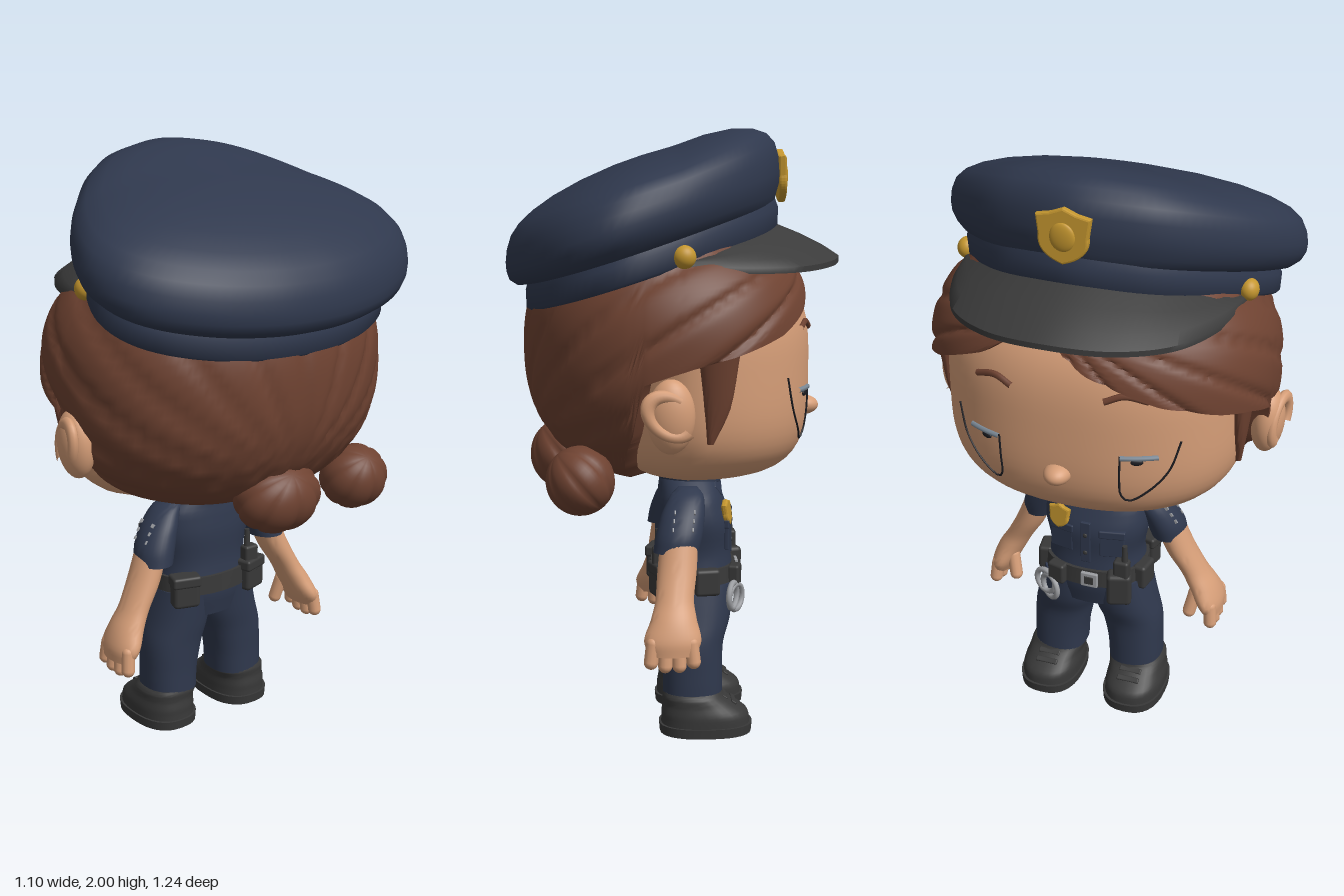
import * as THREE from 'three';
import { toCreasedNormals } from 'three/addons/utils/BufferGeometryUtils.js';
import { RoundedBoxGeometry } from 'three/addons/geometries/RoundedBoxGeometry.js';

const material = (name, color, side = THREE.FrontSide) => {
  const m = new THREE.MeshStandardMaterial({ color, side });
  m.name = name;
  return m;
};
const V = (x, y, z) => new THREE.Vector3(x, y, z);

// Surface from rows (bottom to top) and columns (front, then towards +x)
function grid(rows, cols, closed, point, crease = 0.9) {
  const pos = [], index = [], n = closed ? cols : cols + 1;
  for (let i = 0; i <= rows; i++) for (let j = 0; j < n; j++) pos.push(...point(i, j / cols));
  for (let i = 0; i < rows; i++) for (let j = 0; j < cols; j++) {
    const a = i * n + j, b = i * n + (j + 1) % n;
    index.push(a, b, b + n, a, b + n, a + n);
  }
  const g = new THREE.BufferGeometry();
  g.setAttribute('position', new THREE.Float32BufferAttribute(pos, 3));
  g.setIndex(index);
  return toCreasedNormals(g, crease);
}

// Unit superellipse at turn u
function superPoint(u, n) {
  const f = (v) => Math.sign(v) * Math.abs(v) ** (2 / n), a = u * Math.PI * 2;
  return [f(Math.sin(a)), f(Math.cos(a))];
}

// Capped loft through level sections [x, y, z, rx, rz], bottom to top
function loft(sections, n = 2, cols = 32) {
  const mid = new THREE.CatmullRomCurve3(sections.map((s) => V(s[0], s[1], s[2])));
  const rad = new THREE.CatmullRomCurve3(sections.map((s) => V(s[3], s[4], 0)));
  const rows = (sections.length - 1) * 4;
  return grid(rows + 2, cols, true, (i, u) => {
    const t = Math.min(Math.max((i - 1) / rows, 0), 1);
    const c = mid.getPoint(t), r = rad.getPoint(t), k = i === 0 || i === rows + 2 ? 0 : 1;
    const [x, z] = superPoint(u, n);
    return [c.x + x * r.x * k, c.y, c.z + z * r.y * k];
  });
}

const tube = (pts, r) => new THREE.TubeGeometry(new THREE.CatmullRomCurve3(pts), 24, r, 6);

// Width factor of the head at height y, and depth of the face at x, y
const headWidth = (y) => Math.max(0, 1 - Math.abs((y - 1.25) / 0.38) ** (y < 1.25 ? 4 : 2.8)) ** (y < 1.25 ? 0.25 : 1 / 2.8);
function faceZ(x, y) {
  const w = headWidth(y);
  return 0.03 + 0.42 * w * Math.max(0, 1 - Math.abs(x / (0.5 * w)) ** 2.3) ** (1 / 2.3);
}

// Height of the hairline around the head, by angle from the parting
const hairline = [[0, 1.57], [0.3, 1.45], [0.7, 1.36], [1.1, 1.3], [1.35, 1.27], [1.62, 1.22], [1.72, 1.05], [1.9, 0.93], [2.1, 0.876], [3.5, 0.872]];
function hairlineAt(a) {
  const k = Math.max(1, hairline.findIndex((p) => p[0] >= a));
  const [p, q] = [hairline[k - 1], hairline[k]];
  return THREE.MathUtils.lerp(p[1], q[1], (a - p[0]) / (q[0] - p[0]));
}

// Shield plate
function shield(w, h, depth) {
  const s = new THREE.Shape();
  s.moveTo(0, -h / 2);
  s.quadraticCurveTo(w * 0.5, -h * 0.35, w * 0.45, 0);
  s.lineTo(w * 0.5, h * 0.35);
  s.lineTo(w * 0.25, h * 0.4);
  s.lineTo(0, h / 2);
  s.lineTo(-w * 0.25, h * 0.4);
  s.lineTo(-w * 0.5, h * 0.35);
  s.lineTo(-w * 0.45, 0);
  s.quadraticCurveTo(-w * 0.5, -h * 0.35, 0, -h / 2);
  return new THREE.ExtrudeGeometry(s, { depth, bevelSize: 0.006, bevelThickness: 0.006, bevelSegments: 2 });
}

export function createModel() {
  const group = new THREE.Group();
  const navy = material('navy cloth', 0x2f384d), skin = material('skin', 0xd69e78);
  const brown = material('brown hair', 0x6e4231), leather = material('black leather', 0x383838);
  const gold = material('gold', 0xc4962f), silver = material('silver', 0x9c9ea2);
  const ink = material('eye line', 0x1d1d22), grey = material('eye grey', 0x7d8b98);
  const peak = material('peak charcoal', 0x3b3b3b, THREE.DoubleSide);

  const add = (name, g, m, p = [0, 0, 0], r = [0, 0, 0], s = [1, 1, 1]) => {
    const mesh = new THREE.Mesh(g, m);
    mesh.name = name;
    mesh.position.set(...p);
    mesh.rotation.set(...r);
    mesh.scale.set(...s);
    group.add(mesh);
  };
  const ball = new THREE.SphereGeometry(1, 32, 20);
  const box = (name, m, size, p, r) => add(name, new RoundedBoxGeometry(...size, 3, Math.min(...size) * 0.25), m, p, r);

  // Head, narrower behind where the hair covers it
  add('head', grid(32, 64, true, (i, u) => {
    const y = 1.25 - 0.38 * Math.cos(Math.PI * i / 32), [x, z] = superPoint(u, 2.3);
    const w = headWidth(y) * (1 - 0.45 * Math.max(0, -z));
    return [0.5 * w * x, y, 0.03 + 0.42 * w * z];
  }), skin);
  add('nose', ball, skin, [0, 1.085, 0.44], [0, 0, 0], [0.045, 0.034, 0.056]);

  // Hair shell, combed from the forehead to the bun
  add('hair', grid(40, 192, true, (i, u) => {
    const a = u * Math.PI * 2, off = Math.abs(Math.atan2(Math.sin(a + 0.15), Math.cos(a + 0.15)));
    const low = hairlineAt(off), k = (1 - Math.cos(Math.PI * Math.max(0, i - 1) / 39)) / 2;
    const y = low + (1.68 - low) * k, d = Math.abs(y - 1.3) / (y < 1.3 ? 0.45 : 0.42);
    const w = Math.max(0, 1 - d ** 2.4) ** (1 / 2.4) * (i === 0 ? 0.6 : 1), [x, z] = superPoint(u, 2.15);
    const strand = Math.atan2(x * w, 0.8 * (y - 1.3) / 0.42 - 0.6 * z * w);
    const groove = 1 - 0.03 * (1 - Math.abs(Math.sin(strand * 9))) ** 3;
    return [0.58 * w * x * groove, y, -0.01 + 0.485 * w * z * groove];
  }, 1.2), brown);

  // Ribbed hair buns
  const bun = (p, sx, sy, sz) => add('hairBun', grid(20, 64, true, (i, u) => {
    const v = Math.PI * i / 20, r = Math.sin(v) * (1 - 0.07 * (1 - Math.abs(Math.sin(u * Math.PI * 8))) ** 2);
    const [x, z] = superPoint(u, 2);
    return [x * r, -Math.cos(v), z * r];
  }, 1.2), brown, p, [-0.7, 0, 0], [sx, sy, sz]);
  bun([0, 0.925, -0.36], 0.155, 0.12, 0.12);
  bun([-0.375, 0.9, -0.31], 0.12, 0.11, 0.11);

  for (const s of [-1, 1]) {
    // Ears, side locks and facial features
    add('ear', ball, skin, [s * 0.55, 1.125, -0.035], [0, 0, -s * 0.05], [0.055, 0.115, 0.074]);
    add('earRim', new THREE.TorusGeometry(0.054, 0.017, 10, 28, Math.PI * 1.45), skin, [s * 0.588, 1.13, -0.04],
      [0, s * (Math.PI / 2 - 0.2), s * 0.1 + (s > 0 ? -0.6 : 0.75 + Math.PI * 0.1)], [1, 1.4, 1]);
    add('sideLock', loft([[s * 0.487, 1.03, 0.09, 0.012, 0.01], [s * 0.497, 1.14, 0.11, 0.02, 0.04], [s * 0.505, 1.32, 0.115, 0.035, 0.065]]), brown);
    const onFace = (x, y) => V(s * x, y, faceZ(x, y) + 0.002);
    add('eyeOutline', tube([[0.2, 1.18], [0.198, 1.1], [0.2, 1.03], [0.22, 1.005], [0.28, 1.045], [0.34, 1.12], [0.37, 1.22]].map((p) => onFace(...p)), 0.0035), ink);
    add('eyelid', tube([0.2, 0.24, 0.28, 0.31].map((x) => onFace(x, 1.172)), 0.009), grey);
    add('pupil', ball, ink, onFace(0.25, 1.157).toArray(), [0, s * 0.4, 0], [0.02, 0.01, 0.006]);
    add('eyebrow', tube([onFace(0.15, 1.365), onFace(0.21, 1.385), onFace(0.28, 1.367)], 0.011), brown);
  }

  // Cap: crown and band follow one egg-shaped outline
  const half = [[0.2, 0.31], [0.31, 0.25], [0.43, 0.135], [0.54, -0.02], [0.6, -0.19], [0.575, -0.31], [0.5, -0.4], [0.34, -0.49], [0.15, -0.54]];
  const outline = new THREE.CatmullRomCurve3([V(0, 0, 0.355), ...half.map(([x, z]) => V(x, 0, z)), V(0, 0, -0.55),
    ...half.slice().reverse().map(([x, z]) => V(-x, 0, z))], true).getSpacedPoints(96);
  const capLayer = (rows) => grid(rows.length - 1, 96, true, (i, u) => {
    const [sx, sz, h, shift] = rows[i], p = outline[Math.round(u * 96)];
    const z = -0.1 + (p.z + 0.1) * sz + shift;
    return [p.x * sx, 1.735 + 0.32 * z + h * (h > 0 ? 1 + 0.85 * Math.max(z, 0) : 1), z];
  }, 1.1);
  add('capCrown', capLayer([[0.85, 0.88, -0.085, 0.03], [0.92, 0.94, -0.075, 0.01], [0.97, 0.975, -0.05, 0], [0.995, 0.995, -0.02, 0], [1, 1, 0.01, 0],
    [0.99, 0.99, 0.05, 0], [0.96, 0.96, 0.09, 0], [0.9, 0.9, 0.122, 0], [0.8, 0.8, 0.15, 0], [0.65, 0.65, 0.176, 0],
    [0.45, 0.45, 0.197, 0], [0.22, 0.22, 0.21, 0], [0, 0, 0.214, 0]]), navy);
  add('capBand', capLayer([[0.8, 0.84, -0.15, 0.025], [0.865, 0.905, -0.167, 0.03], [0.88, 0.92, -0.158, 0.03], [0.885, 0.925, -0.1, 0.03], [0.86, 0.9, -0.065, 0.03]]), navy);

  // Cap peak
  const mirrorCurve = (pts) => new THREE.CatmullRomCurve3([...pts.map(([x, y, z]) => V(-x, y, z)), ...pts.slice(0, -1).reverse().map((p) => V(...p))]);
  const inner = mirrorCurve([[0.46, 1.575, 0.01], [0.41, 1.605, 0.1], [0.33, 1.635, 0.19], [0.19, 1.67, 0.29], [0, 1.69, 0.34]]);
  const outer = mirrorCurve([[0.475, 1.57, 0.03], [0.455, 1.56, 0.17], [0.36, 1.56, 0.38], [0.2, 1.572, 0.505], [0, 1.585, 0.552]]);
  const peakRows = [[0, -0.02], [0.5, -0.014], [1, -0.012], [1, 0.006], [0.75, 0.014], [0.4, 0.014], [0, 0.006]];
  add('capPeak', grid(6, 64, false, (i, u) => {
    const p = inner.getPoint(u).lerp(outer.getPoint(u), peakRows[i][0]);
    return [p.x, p.y + peakRows[i][1], p.z];
  }), peak);
  add('capBadge', shield(0.16, 0.16, 0.014), gold, [0, 1.85, 0.352], [-0.05, 0, 0]);
  add('capBadgeCentre', ball, gold, [0, 1.85, 0.372], [0, 0, 0], [0.04, 0.045, 0.012]);
  for (const s of [-1, 1]) add('capButton', ball, gold, [s * 0.475, 1.6, 0.01], [0, 0, 0], [0.032, 0.036, 0.036]);

  // Torso, neck and collar
  add('neck', new THREE.CylinderGeometry(0.075, 0.08, 0.12, 28), skin, [0, 0.86, 0.05]);
  add('shirt', loft([[0, 0.4, 0.07, 0.15, 0.12], [0, 0.5, 0.07, 0.175, 0.138], [0, 0.6, 0.07, 0.165, 0.128], [0, 0.7, 0.07, 0.183, 0.13],
    [0, 0.78, 0.06, 0.175, 0.112], [0, 0.83, 0.055, 0.125, 0.1], [0, 0.86, 0.05, 0.09, 0.085]], 2.3), navy);
  add('collar', new THREE.TorusGeometry(0.088, 0.024, 12, 36), navy, [0, 0.848, 0.055], [Math.PI / 2 + 0.15, 0, 0]);
  box('buttonPlacket', navy, [0.035, 0.16, 0.012], [0, 0.66, 0.197]);
  for (const y of [0.62, 0.69]) add('shirtButton', ball, leather, [0, y, 0.204], [0, 0, 0], [0.008, 0.008, 0.004]);
  add('chestBadge', shield(0.07, 0.075, 0.008), gold, [-0.1, 0.735, 0.174], [-0.15, -0.25, 0]);

  for (const s of [-1, 1]) {
    box('collarFlap', navy, [0.075, 0.05, 0.02], [s * 0.05, 0.82, 0.145], [-0.5, s * 0.3, -s * 0.5]);
    box('chestPocket', navy, [0.085, 0.085, 0.014], [s * 0.09, 0.655, 0.183], [0, s * 0.2, 0]);
    box('pocketFlap', navy, [0.092, 0.03, 0.02], [s * 0.09, 0.7, 0.182], [0, s * 0.2, 0]);

    // Sleeves with stitched patches
    add('sleeve', loft([[s * 0.238, 0.635, 0, 0.062, 0.075], [s * 0.226, 0.685, 0.01, 0.066, 0.077], [s * 0.195, 0.75, 0.025, 0.06, 0.072],
      [s * 0.155, 0.805, 0.04, 0.045, 0.055], [s * 0.12, 0.83, 0.045, 0.03, 0.03]]), navy);
    for (const z of [-0.012, 0.052]) for (let k = 0; k < 3; k++) {
      box('patchStitch', silver, [0.014, 0.014, 0.005], [s * (0.272 - k * 0.015), 0.712 + k * 0.026, z + k * 0.004], [0, 0, s * 0.6]);
    }

    // Arms and hands
    add('arm', loft([[s * 0.4, 0.335, -0.02, 0.034, 0.074], [s * 0.387, 0.38, -0.02, 0.046, 0.092], [s * 0.36, 0.44, -0.015, 0.05, 0.074],
      [s * 0.325, 0.5, -0.01, 0.048, 0.062], [s * 0.28, 0.58, 0, 0.052, 0.064], [s * 0.24, 0.68, 0.01, 0.05, 0.062]]), skin);
    for (let k = 0; k < 4; k++) {
      add('finger', new THREE.CapsuleGeometry(0.023, 0.06, 6, 12), skin, [s * 0.405, 0.332 + (k % 3 ? 0 : 0.012), -0.087 + k * 0.043], [0.12 - k * 0.08, 0, s * 0.1]);
    }
    add('thumb', new THREE.CapsuleGeometry(0.023, 0.075, 6, 12), skin, [s * 0.337, 0.378, 0.035], [-0.2, 0, -s * 0.2]);

    // Legs and boots
    add('trouserLeg', loft([[s * 0.143, 0.125, 0.06, 0.094, 0.1], [s * 0.14, 0.2, 0.06, 0.096, 0.1], [s * 0.128, 0.3, 0.06, 0.104, 0.104],
      [s * 0.106, 0.38, 0.068, 0.107, 0.12], [s * 0.09, 0.5, 0.07, 0.093, 0.132]], 2.3), navy);
    add('bootSole', loft([[s * 0.158, 0, 0.103, 0.108, 0.154], [s * 0.158, 0.032, 0.103, 0.11, 0.157]], 2.5), leather);
    add('boot', loft([[s * 0.158, 0.025, 0.103, 0.104, 0.15], [s * 0.158, 0.065, 0.1, 0.103, 0.146], [s * 0.155, 0.1, 0.08, 0.097, 0.12],
      [s * 0.15, 0.125, 0.062, 0.098, 0.104], [s * 0.148, 0.138, 0.06, 0.09, 0.098]], 2.4), leather);
    for (const k of [0, 1]) box('bootLace', leather, [0.08, 0.014, 0.02], [s * 0.155, 0.117 - k * 0.018, 0.165 + k * 0.03], [0.6, 0, 0]);

    // Belt pouches, back and sides
    box('backPouch', leather, [0.095, 0.11, 0.06], [s * 0.14, 0.515, -0.045], [0, -s * 0.3, 0]);
    box('backPouchFlap', leather, [0.102, 0.04, 0.068], [s * 0.14, 0.555, -0.045], [0, -s * 0.3, 0]);
    box('sidePouch', leather, [0.05, 0.09, 0.085], [s * 0.178, 0.515, 0.105], [0, -s * 0.15, 0]);
  }

  // Belt, front pouches, radios and cuffs
  add('belt', loft([[0, 0.492, 0.07, 0.184, 0.147], [0, 0.555, 0.07, 0.18, 0.144]], 2.3), leather);
  box('beltBuckle', silver, [0.06, 0.055, 0.014], [0.02, 0.522, 0.219]);
  box('buckleInset', leather, [0.034, 0.03, 0.01], [0.02, 0.522, 0.224]);
  box('frontPouch', leather, [0.085, 0.12, 0.06], [0.125, 0.51, 0.21], [0, 0.3, 0]);
  box('cuffCase', leather, [0.065, 0.075, 0.04], [-0.1, 0.52, 0.205], [0, -0.25, 0]);
  for (const [x, z] of [[0.135, 0.21], [-0.13, -0.055]]) {
    box('radio', leather, [0.055, 0.1, 0.04], [x, 0.575, z]);
    add('radioAntenna', new THREE.CylinderGeometry(0.009, 0.012, 0.08, 12), leather, [x + 0.01, 0.645, z]);
  }
  for (const k of [0, 1]) add('handcuff', new THREE.TorusGeometry(0.043, 0.01, 8, 28), silver, [-0.15 + k * 0.02, 0.46 - k * 0.01, 0.195 + k * 0.012], [0, -0.4 - k * 0.2, 0]);

  // Turn the figure to look along -x
  group.rotation.y = -Math.PI / 2;
  group.name = 'figure';
  const model = new THREE.Group();
  model.name = 'officerFigure';
  model.add(group);
  return model;
}
